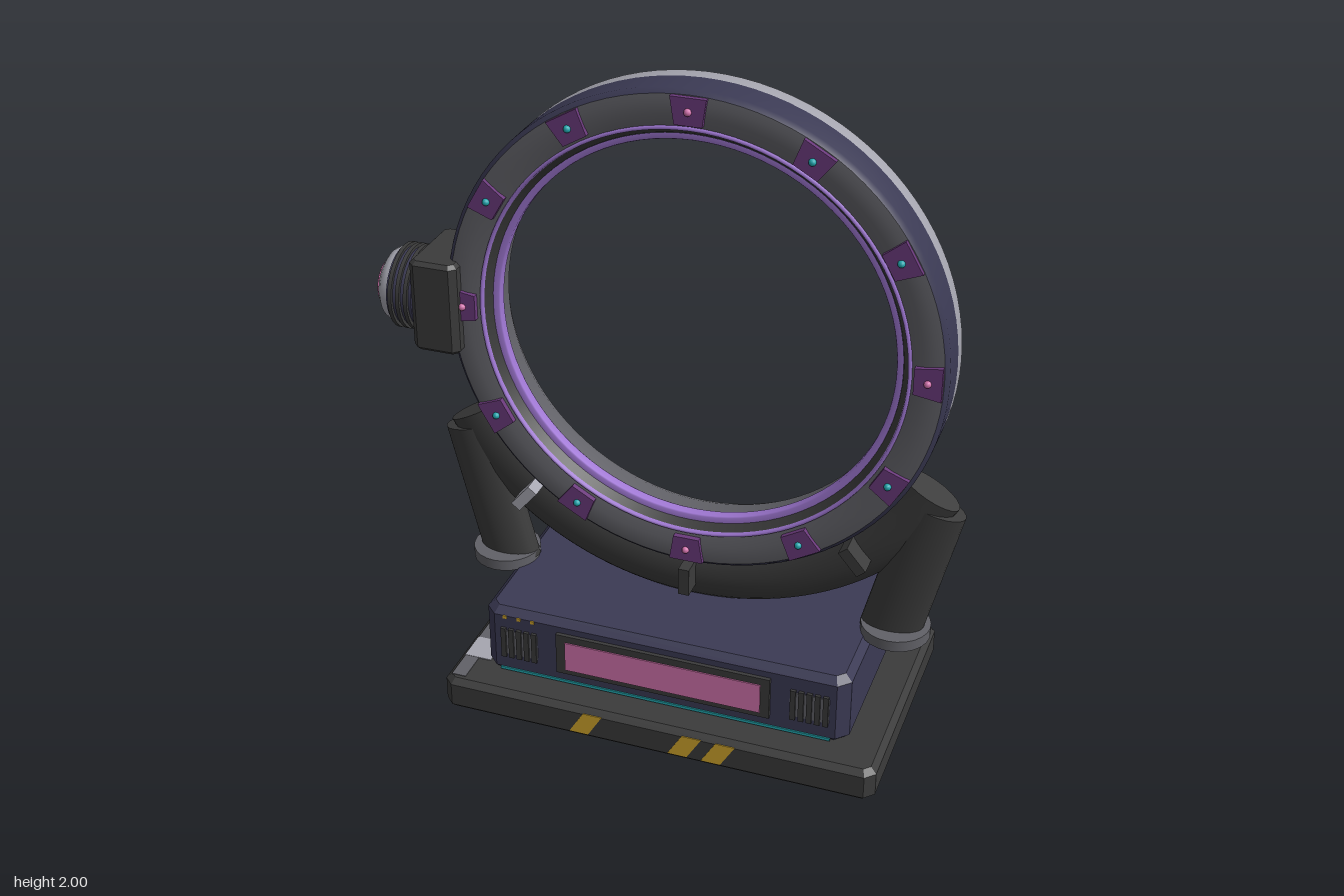
import * as THREE from 'three';

const CX = 0.08, CY = 1.25; // ring centre

export function createModel() {
  const root = new THREE.Group();
  root.name = 'portalGate';
  const mat = (name, hex, side = THREE.FrontSide) => {
    const m = new THREE.MeshStandardMaterial({ color: hex, side });
    m.name = name;
    return m;
  };
  const dark = mat('darkSteel', 0x3b3b3b);
  const grey = mat('wornGrey', 0x616167);
  const navy = mat('navyPaint', 0x3b3a54);
  const silver = mat('bareMetal', 0xa6a6b0);
  const purple = mat('purplePlate', 0x6b3a7c);
  const violet = mat('violetGlow', 0xa078d4);
  const pink = mat('pinkScreen', 0xd272ac);
  const cyan = mat('cyanLight', 0x22a8b0);
  const yellow = mat('hazardYellow', 0xd0a52c);

  const add = (name, geo, m, x = 0, y = 0, z = 0, parent = root) => {
    const mesh = new THREE.Mesh(geo, m);
    mesh.name = name;
    mesh.position.set(x, y, z);
    parent.add(mesh);
    return mesh;
  };
  // box given by its limits
  const box = (name, m, x0, x1, y0, y1, z0, z1) => add(name,
    new THREE.BoxGeometry(x1 - x0, y1 - y0, z1 - z0), m, (x0 + x1) / 2, (y0 + y1) / 2, (z0 + z1) / 2);
  // box with every edge chamfered, standing on y = 0
  const chamferBox = (w, h, d, c) => {
    const a = w / 2 - c, b = d / 2 - c;
    const pts = [[a - c, -b], [a, c - b], [a, b - c], [a - c, b], [c - a, b], [-a, b - c], [-a, c - b], [c - a, -b]];
    const geo = new THREE.ExtrudeGeometry(new THREE.Shape(pts.map(p => new THREE.Vector2(...p))),
      { depth: h - 2 * c, bevelSize: c, bevelThickness: c, bevelSegments: 1 });
    return geo.translate(0, 0, c).rotateX(-Math.PI / 2);
  };
  const lathe = (pts, segs = 72) => new THREE.LatheGeometry(pts.map(p => new THREE.Vector2(...p)), segs);

  // ---- plinth, feet and hazard stripes
  add('plinth', chamferBox(1.365, 0.11, 0.8, 0.018), dark, 0.078, 0.01, 0);
  for (const x of [-0.53, 0.69]) for (const z of [-0.32, 0.32])
    add('foot', new THREE.CylinderGeometry(0.05, 0.05, 0.014, 16), dark, x, 0.007, z);
  for (const x of [-0.185, 0.13, 0.235]) {
    const s = new THREE.Shape([[0, 0], [0.06, 0], [0.105, 0.075], [0.045, 0.075]].map(p => new THREE.Vector2(...p)));
    add('hazardStripe', new THREE.ExtrudeGeometry(s, { depth: 0.003, bevelEnabled: false }), yellow, x, 0.03, 0.399);
  }
  // worn corners on the plinth
  box('wornEdge', grey, -0.585, -0.54, 0.118, 0.122, -0.37, 0.37);
  box('wornCorner', silver, -0.587, -0.535, 0.118, 0.123, -0.375, -0.31);
  box('wornCorner', silver, -0.587, -0.5, 0.118, 0.123, 0.17, 0.27);
  box('wornCorner', grey, 0.665, 0.735, 0.118, 0.122, -0.375, -0.33);

  // ---- console with screen, vents and lights
  add('console', chamferBox(1.15, 0.235, 0.6, 0.022), navy, 0.075, 0.115, 0);
  box('screenFrame', dark, -0.26, 0.415, 0.168, 0.308, 0.29, 0.312);
  box('screen', pink, -0.23, 0.387, 0.185, 0.285, 0.309, 0.316);
  box('lightStrip', cyan, -0.45, 0.6, 0.128, 0.137, 0.296, 0.304);
  for (const x of [-0.385, 0.535]) {
    box('ventPlate', grey, x - 0.06, x + 0.06, 0.19, 0.275, 0.297, 0.303);
    for (let i = -2; i <= 2; i++)
      box('ventSlat', dark, x + i * 0.025 - 0.008, x + i * 0.025 + 0.008, 0.18, 0.285, 0.297, 0.309);
  }
  for (const x of [-0.43, -0.385, -0.34]) box('indicator', yellow, x - 0.006, x + 0.006, 0.319, 0.329, 0.296, 0.303);

  // ---- ring: lathed bands around the z axis
  const ring = new THREE.Group();
  ring.name = 'ring';
  ring.position.set(CX, CY, 0);
  root.add(ring);
  const band = (name, m, pts) => add(name, lathe(pts, 96).rotateX(Math.PI / 2), m, 0, 0, 0, ring);
  band('ringRearRim', silver, [[0.735, -0.085], [0.75, -0.07], [0.75, -0.022]]);
  band('ringFrontRim', navy, [[0.75, -0.022], [0.75, 0.07], [0.737, 0.083]]);
  band('ringFront', grey, [[0.737, 0.083], [0.715, 0.086], [0.68, 0.086], [0.645, 0.078]]);
  band('ringFrontTrim', violet, [[0.645, 0.078], [0.643, 0.084], [0.635, 0.084], [0.633, 0.074]]);
  band('ringFrontStep', dark, [[0.633, 0.074], [0.615, 0.05]]);
  band('ringGlow', violet, [[0.615, 0.052], [0.598, 0.052], [0.595, 0.047], [0.595, 0.02], [0.598, 0.015], [0.615, 0.015]]);
  band('ringInside', grey, [[0.612, 0.015], [0.61, -0.05], [0.622, -0.075]]);
  band('ringBack', grey, [[0.622, -0.075], [0.65, -0.085], [0.69, -0.087], [0.735, -0.085]]);

  // twelve plates with a light on each
  const plate = new THREE.Shape([[-0.04, -0.04], [0.04, -0.04], [0.052, 0.04], [-0.052, 0.04]].map(p => new THREE.Vector2(...p)));
  for (let i = 0; i < 12; i++) {
    const pad = new THREE.Group();
    pad.name = 'ringPlate';
    pad.rotation.z = i * Math.PI / 6;
    ring.add(pad);
    add('plate', new THREE.ExtrudeGeometry(plate, { depth: 0.018, bevelEnabled: false }), purple, 0, 0.694, 0.08, pad);
    add('plateLight', new THREE.SphereGeometry(0.011, 10, 8), i % 3 ? cyan : pink, 0, 0.694, 0.1, pad);
  }
  // sixteen bolts on the back
  for (let i = 0; i < 16; i++) {
    const a = i * Math.PI / 8;
    add('bolt', new THREE.CylinderGeometry(0.012, 0.012, 0.025, 8).rotateX(Math.PI / 2), dark,
      0.69 * Math.cos(a), 0.69 * Math.sin(a), -0.09, ring);
  }

  // ---- cradle: flattened arc under the ring, with capped ends
  const START = Math.PI * 209 / 180, ARC = Math.PI * 122 / 180, R = 0.807, T = 0.1;
  const cradle = new THREE.Group();
  cradle.name = 'cradle';
  cradle.position.set(CX, CY, 0);
  cradle.scale.z = 0.56;
  root.add(cradle);
  add('cradleArc', new THREE.TorusGeometry(R, T, 20, 48, ARC).rotateZ(START), dark, 0, 0, 0, cradle);
  for (const [a, flip] of [[START, 1], [START + ARC, -1]])
    add('cradleCap', new THREE.CircleGeometry(T, 20).rotateX(flip * Math.PI / 2).translate(R, 0, 0).rotateZ(a), dark, 0, 0, 0, cradle);

  // ---- legs with collars, mirrored about the ring centre
  for (const s of [-1, 1]) {
    const tilt = s * -0.245;
    add('leg', new THREE.CylinderGeometry(0.09, 0.092, 0.48, 24).scale(1, 1, 0.62).rotateZ(tilt), dark, CX + s * 0.668, 0.572, 0);
    add('legCollar', new THREE.CylinderGeometry(0.105, 0.105, 0.035, 24), grey, CX + s * 0.63, 0.362, 0);
  }
  // clamps on both faces of the cradle
  for (const deg of [-40, 0, 40]) for (const z of [-0.08, 0.08]) {
    const a = THREE.MathUtils.degToRad(deg);
    const clamp = add('clamp', new THREE.BoxGeometry(0.034, 0.09, 0.075), deg < 0 && z > 0 ? silver : dark,
      CX + 0.8 * Math.sin(a), CY - 0.8 * Math.cos(a), z);
    clamp.rotation.z = a;
  }

  // ---- side motor: housing, ribbed drum and dome
  const housing = chamferBox(0.15, 0.29, 0.26, 0.012);
  add('motorHousing', housing, dark, -0.695, 1.097, 0);
  const motor = new THREE.Group();
  motor.name = 'sideMotor';
  motor.position.set(-0.77, 1.242, 0);
  motor.rotation.z = Math.PI / 2;
  root.add(motor);
  add('drum', new THREE.CylinderGeometry(0.12, 0.12, 0.08, 32), navy, 0, 0.04, 0, motor);
  for (const y of [0.015, 0.04, 0.065])
    add('drumRib', new THREE.CylinderGeometry(0.13, 0.13, 0.012, 32), dark, 0, y, 0, motor);
  add('dome', lathe([[0.116, 0.07], [0.115, 0.09], [0.105, 0.108], [0.085, 0.122], [0.065, 0.129], [0, 0.132]], 32), silver, 0, 0, 0, motor);
  add('domeRing', new THREE.TorusGeometry(0.066, 0.005, 8, 32).rotateX(Math.PI / 2), pink, 0, 0.13, 0, motor);

  // ---- cables from the ring back to the console
  for (const [x, dx, m] of [[0.315, -0.045, dark], [0.385, 0.02, yellow], [0.44, 0.025, dark]]) {
    const path = new THREE.CurvePath();
    const p = [[x, 0.615, -0.07], [x, 0.57, -0.125], [x + dx * 0.6, 0.455, -0.262], [x + dx, 0.34, -0.24]]
      .map(q => new THREE.Vector3(...q));
    for (let i = 0; i < 3; i++) path.add(new THREE.LineCurve3(p[i], p[i + 1]));
    add('cable', new THREE.TubeGeometry(path, 30, 0.015, 8), m);
  }
  return root;
}
